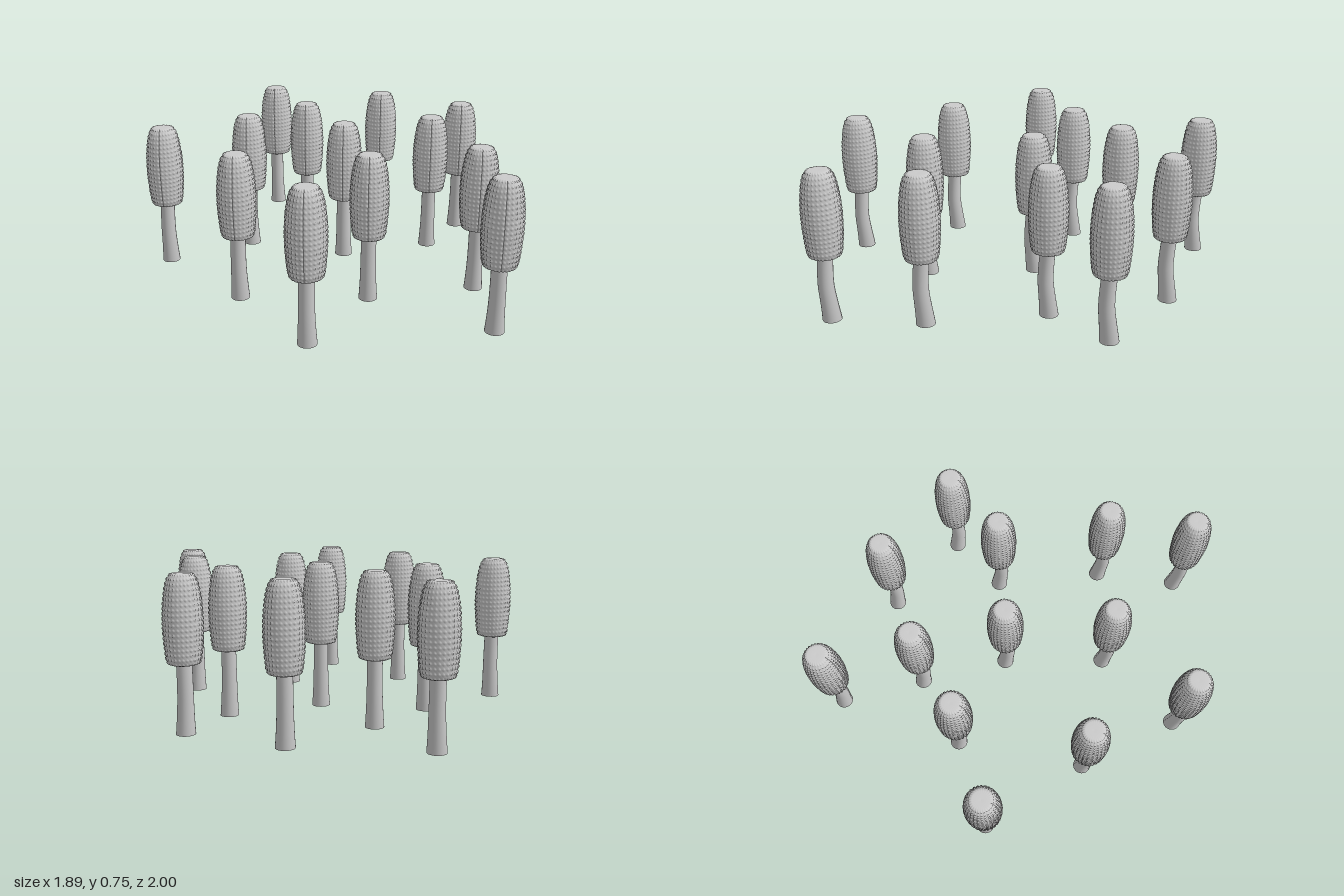
import * as THREE from 'three';

// Ground positions [x, z] of every plant
const SPOTS = [
  [-0.42, -0.905], [0.24, -0.825], [0.71, -0.61], [-0.175, -0.515], [0.54, -0.29],
  [-0.455, -0.205], [0.08, -0.105], [-0.85, 0.08], [0.775, 0.25], [0.25, 0.425],
  [-0.38, 0.485], [0.85, 0.695], [0.01, 0.9],
];

// Cob: a lathe whose surface is pushed in along a grid of grooves, leaving kernels
function cobGeometry() {
  const COLS = 28, ROWS = 19, STEP = 3;
  const outline = new THREE.SplineCurve([
    [0.066, 0.332], [0.078, 0.345], [0.085, 0.39], [0.091, 0.47], [0.0925, 0.54],
    [0.089, 0.61], [0.081, 0.675], [0.07, 0.72], [0.056, 0.745], [0.045, 0.752],
  ].map(([r, y]) => new THREE.Vector2(r, y)));
  const n = ROWS * STEP;
  const pts = [new THREE.Vector2(0, 0.332), ...outline.getSpacedPoints(n), new THREE.Vector2(0, 0.75)];
  const geo = new THREE.LatheGeometry(pts, COLS * STEP);
  const p = geo.attributes.position;
  for (let i = 0; i < p.count; i++) {
    const column = Math.floor(i / pts.length), row = (i % pts.length) - 1;
    if (row < 0 || row > n) continue;
    const groove = column % STEP === 0 || row % STEP === 0;
    const r = Math.hypot(p.getX(i), p.getZ(i));
    const k = (r + (groove ? -0.003 : 0.003)) / r;
    p.setX(i, p.getX(i) * k);
    p.setZ(i, p.getZ(i) * k);
  }
  geo.computeVertexNormals();
  return geo;
}

// Stalk: a tapered cylinder bent gently forward and back along z
function stalkGeometry() {
  const H = 0.35;
  const geo = new THREE.CylinderGeometry(0.037, 0.037, H, 24, 10);
  geo.translate(0, H / 2, 0);
  const bend = new THREE.SplineCurve([
    [-0.008, 0], [0.001, 0.0875], [0.01, 0.175], [0.007, 0.2625], [0, 0.35],
  ].map(([z, y]) => new THREE.Vector2(z, y)));
  const p = geo.attributes.position;
  for (let i = 0; i < p.count; i++) {
    const t = p.getY(i) / H;
    const flare = 1 + 0.26 * (1 - t) ** 3;
    p.setX(i, p.getX(i) * flare);
    p.setZ(i, p.getZ(i) * flare + bend.getPoint(t).x);
  }
  // Keep the caps crisp: cylinder normals stay as built
  return geo;
}

export function createModel() {
  const model = new THREE.Group();
  model.name = 'plantField';
  const material = new THREE.MeshStandardMaterial({ color: 0xcccccc });
  const parts = { cob: cobGeometry(), stalk: stalkGeometry() };

  for (const [x, z] of SPOTS) {
    const plant = new THREE.Group();
    plant.name = 'plant';
    for (const [name, geometry] of Object.entries(parts)) {
      const mesh = new THREE.Mesh(geometry, material);
      mesh.name = name;
      plant.add(mesh);
    }
    plant.position.set(x, 0, z);
    model.add(plant);
  }
  return model;
}
